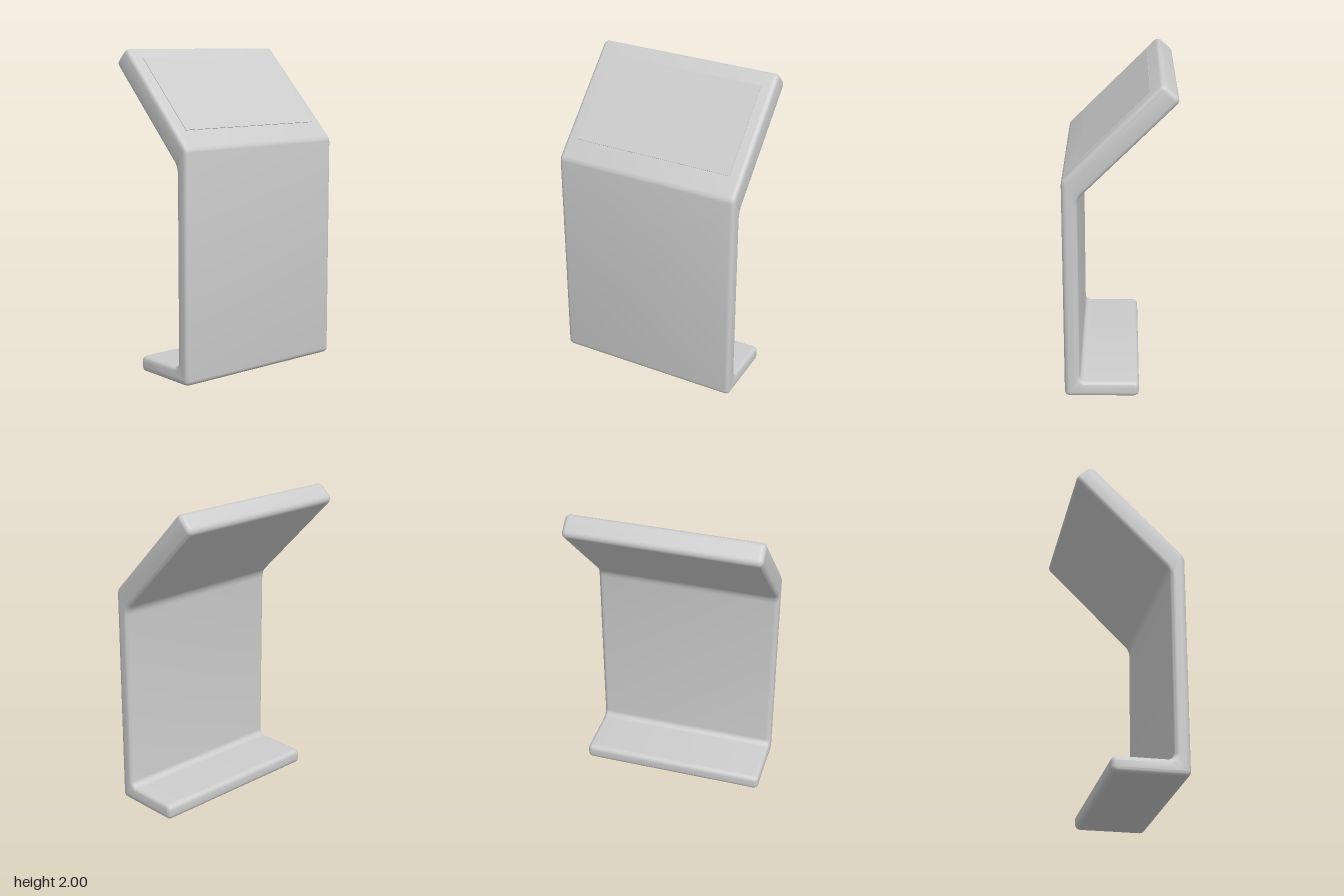
import * as THREE from 'three';
import { toCreasedNormals } from 'three/addons/utils/BufferGeometryUtils.js';

const WIDTH = 1.206;
const BEVEL = 0.03;

// Closed side outline with rounded corners; each corner is [z, y, radius]
function roundedOutline(corners) {
  const points = [];
  const n = corners.length;
  corners.forEach(([z, y, r], i) => {
    const p = new THREE.Vector2(z, y);
    const toPrev = new THREE.Vector2(...corners[(i + n - 1) % n].slice(0, 2)).sub(p).normalize();
    const toNext = new THREE.Vector2(...corners[(i + 1) % n].slice(0, 2)).sub(p).normalize();
    const half = Math.acos(toPrev.dot(toNext)) / 2;
    const cut = r / Math.tan(half);
    const centre = toPrev.clone().add(toNext).normalize().multiplyScalar(r / Math.sin(half)).add(p);
    const start = p.clone().addScaledVector(toPrev, cut).sub(centre);
    const end = p.clone().addScaledVector(toNext, cut).sub(centre);
    const sweep = Math.atan2(start.cross(end), start.dot(end));
    const steps = 6;
    for (let k = 0; k <= steps; k++) {
      points.push(start.clone().rotateAround(new THREE.Vector2(), sweep * k / steps).add(centre));
    }
  });
  return new THREE.Shape(points);
}

export function createModel() {
  const group = new THREE.Group();
  const grey = new THREE.MeshStandardMaterial({ color: 0xcccccc });

  // Bent slab: foot, upright and tilted head in one piece
  const outline = roundedOutline([
    [-0.122, 0, 0.034],
    [0.342, 0, 0.034],
    [0.342, 1.426, 0.06],
    [-0.2465, 2.0145, 0.035],
    [-0.353, 1.915, 0.035],
    [0.247, 1.315, 0.1],
    [0.247, 0.1, 0.04],
    [-0.122, 0.1, 0.034],
  ]);
  const slab = new THREE.ExtrudeGeometry(outline, {
    depth: WIDTH - 2 * BEVEL,
    bevelThickness: BEVEL,
    bevelSize: BEVEL,
    bevelOffset: -BEVEL,
    bevelSegments: 5,
  });
  slab.translate(0, 0, BEVEL - WIDTH / 2);
  slab.rotateY(-Math.PI / 2);
  const body = new THREE.Mesh(toCreasedNormals(slab, 0.7), grey);
  body.name = 'standBody';
  group.add(body);

  // Thin display panel lying on the tilted head
  const screen = new THREE.Mesh(new THREE.BoxGeometry(1.04, 0.585, 0.012), grey);
  screen.name = 'screen';
  screen.position.set(0, 1.739, 0.034);
  screen.rotation.x = -Math.PI / 4;
  screen.translateZ(-0.006);
  group.add(screen);

  return group;
}
